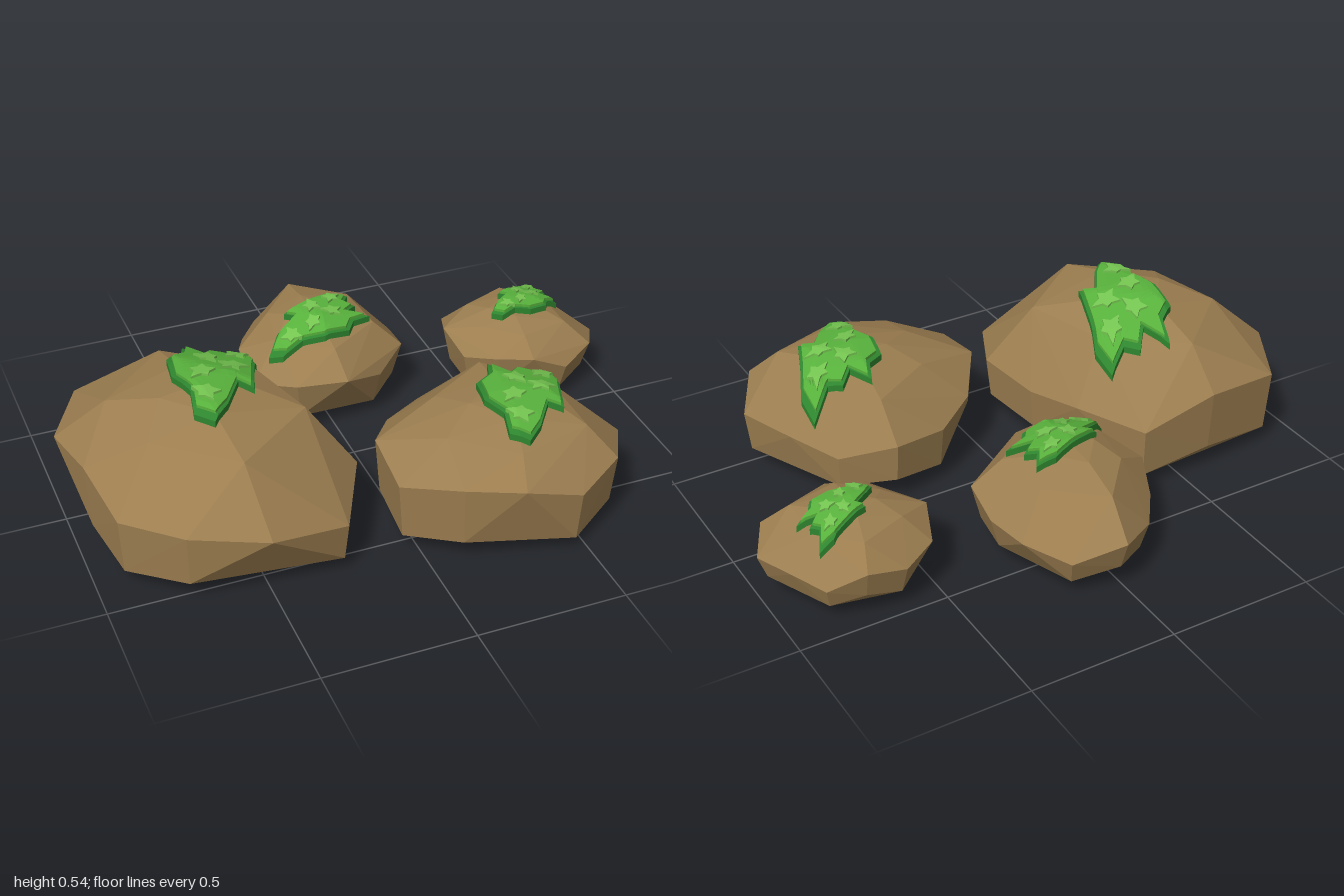
import * as THREE from 'three';
import { ConvexGeometry } from 'three/addons/geometries/ConvexGeometry.js';

const mat = (color) => new THREE.MeshStandardMaterial({ color, flatShading: true });
const stone = mat(0x9c7e50), mossDark = mat(0x2f862f), mossMid = mat(0x58b23c), mossLight = mat(0x74c450);

// Ragged moss outline and leaf clump centres, shared by all patches
const mossOutline = [[-.05, -.255], [-.01, -.155], [.04, -.215], [.08, -.175], [.15, -.215], [.16, -.125], [.12, -.025],
  [.07, .125], [.03, .085], [-.04, .195], [-.1, .255], [-.15, .2], [-.13, .1], [-.16, 0], [-.14, -.125], [-.08, -.165]];
const tuftCentres = [[-.07, .03], [-.02, -.08], [.04, 0], [.09, -.11], [-.09, .14]];

// Faceted stone: girdle radii at equal angles, rings closing on the peak, a tapering underside
function rockGeometry({ centre: [cx, cz], phase, radii, wall, lean, peak: [px, py, pz], taper }) {
  const points = [new THREE.Vector3(px, py, pz), new THREE.Vector3(cx, 0, cz)];
  radii.forEach((radius, i) => {
    const a = THREE.MathUtils.degToRad(phase + i * 360 / radii.length);
    const wobble = Math.sin(i * 2.3);
    const addAt = (scale, y, toPeak) => points.push(new THREE.Vector3(
      THREE.MathUtils.lerp(cx, px, toPeak) + radius * scale * Math.cos(a), y,
      THREE.MathUtils.lerp(cz, pz, toPeak) + radius * scale * Math.sin(a)));
    addAt(1, wall + lean[0] * Math.cos(a) + lean[1] * Math.sin(a) + .028 * wobble, 0);
    if (i % 4 !== 3) addAt(taper, .07 + .02 * wobble, 0);
    if (i % 2) addAt(.64 + .07 * wobble, THREE.MathUtils.lerp(wall, py, .72), .6);
    else addAt(.6, .012 + .006 * wobble, 0);
    if (i % 3 === 0) addAt(.3, THREE.MathUtils.lerp(wall, py, .95), 1);
  });
  return new ConvexGeometry(points);
}

// Height of the convex stone's upper surface: the lowest of its upward planes
function surfaceHeight(geometry) {
  const p = geometry.attributes.position, planes = [];
  for (let i = 0; i < p.count; i += 3) {
    const [a, b, c] = [0, 1, 2].map((k) => new THREE.Vector3().fromBufferAttribute(p, i + k));
    const plane = new THREE.Plane().setFromCoplanarPoints(a, b, c);
    if (plane.normal.y > .05) planes.push(plane);
  }
  return (x, z) => Math.min(...planes.map(({ normal: n, constant: d }) => -(n.x * x + n.z * z + d) / n.y));
}

// Split every triangle into four
function subdivide(triangles) {
  const out = [];
  for (let i = 0; i < triangles.length; i += 3) {
    const [a, b, c] = triangles.slice(i, i + 3);
    const ab = a.clone().lerp(b, .5), bc = b.clone().lerp(c, .5), ca = c.clone().lerp(a, .5);
    out.push(a, ab, ca, ab, b, bc, ca, bc, c, ab, bc, ca);
  }
  return out;
}

// Jagged sheet draped over the stone
function drape(outline, from, to, height, splits) {
  const shape = new THREE.Shape(outline.map(([x, z]) => new THREE.Vector2(x, -z)));
  const slab = new THREE.ExtrudeGeometry(shape, { depth: to - from, bevelEnabled: false });
  slab.rotateX(-Math.PI / 2);
  const p = slab.attributes.position;
  let tris = Array.from({ length: p.count }, (_, i) => new THREE.Vector3().fromBufferAttribute(p, i));
  for (let i = 0; i < splits; i++) tris = subdivide(tris);
  const draped = tris.map(({ x, y, z }) => new THREE.Vector3(x, y + from + height(x, z), z));
  const geometry = new THREE.BufferGeometry().setFromPoints(draped);
  geometry.computeVertexNormals();
  return geometry;
}

// Small ragged leaf clump
function tuftOutline([cx, cz], turn) {
  return Array.from({ length: 10 }, (_, i) => {
    const r = .045 * (i % 2 ? .55 : 1 + .25 * Math.sin(i * 2 + turn));
    const a = turn + i * Math.PI / 5;
    return [cx + r * Math.cos(a), cz + r * Math.sin(a)];
  });
}

// One boulder with its moss patch; a turned patch lies along x
function makeBoulder(name, rockShape, { at, size, turned }) {
  const group = new THREE.Group();
  group.name = name;
  const add = (part, geometry, material) => {
    const mesh = new THREE.Mesh(geometry, material);
    mesh.name = part;
    group.add(mesh);
  };
  const rock = rockGeometry(rockShape), height = surfaceHeight(rock);
  const place = (outline, scale = 1) => outline.map(([x, z]) => {
    const [u, v] = turned ? [-z, -x] : [x, z];
    return [at[0] + u * size[0] * scale, at[1] + v * size[1] * scale];
  });
  add('stone', rock, stone);
  add('mossSkirt', drape(place(mossOutline), -.005, .022, height, 3), mossDark);
  add('mossSheet', drape(place(mossOutline, .9), .022, .032, height, 3), mossMid);
  tuftCentres.forEach((c, i) => add('mossTuft', drape(place(tuftOutline(c, i * 1.3)), .025, .04, height, 2), mossLight));
  return group;
}

export function createModel() {
  const model = new THREE.Group();
  model.name = 'mossyBoulders';
  model.add(
    makeBoulder('largeBoulder', {
      centre: [-.56, .14], phase: -5, wall: .25, lean: [-.04, -.02], peak: [-.58, .5, .13], taper: .97,
      radii: [.4, .48, .545, .513, .46, .44, .405, .485, .545, .485, .52, .41],
    }, { at: [-.48, .075], size: [1, 1], turned: false }),
    makeBoulder('frontBoulder', {
      centre: [.33, .4], phase: 10, wall: .235, lean: [-.03, .03], peak: [.36, .39, .4], taper: .96,
      radii: [.416, .4, .385, .366, .365, .42, .395, .365, .365, .395, .36, .35],
    }, { at: [.44, .41], size: [1, .83], turned: false }),
    makeBoulder('backBoulder', {
      centre: [.02, -.43], phase: 0, wall: .185, lean: [-.01, .02], peak: [0, .345, -.41], taper: .9,
      radii: [.285, .31, .295, .33, .335, .33, .28, .26, .285, .34, .325, .3],
    }, { at: [-.01, -.345], size: [.75, .68], turned: true }),
    makeBoulder('smallBoulder', {
      centre: [.72, -.25], phase: 10, wall: .17, lean: [-.025, .01], peak: [.7, .285, -.26], taper: .9,
      radii: [.28, .27, .25, .235, .24, .255, .265, .275, .26, .245, .24, .235],
    }, { at: [.745, -.28], size: [.53, .57], turned: true }),
  );
  return model;
}
